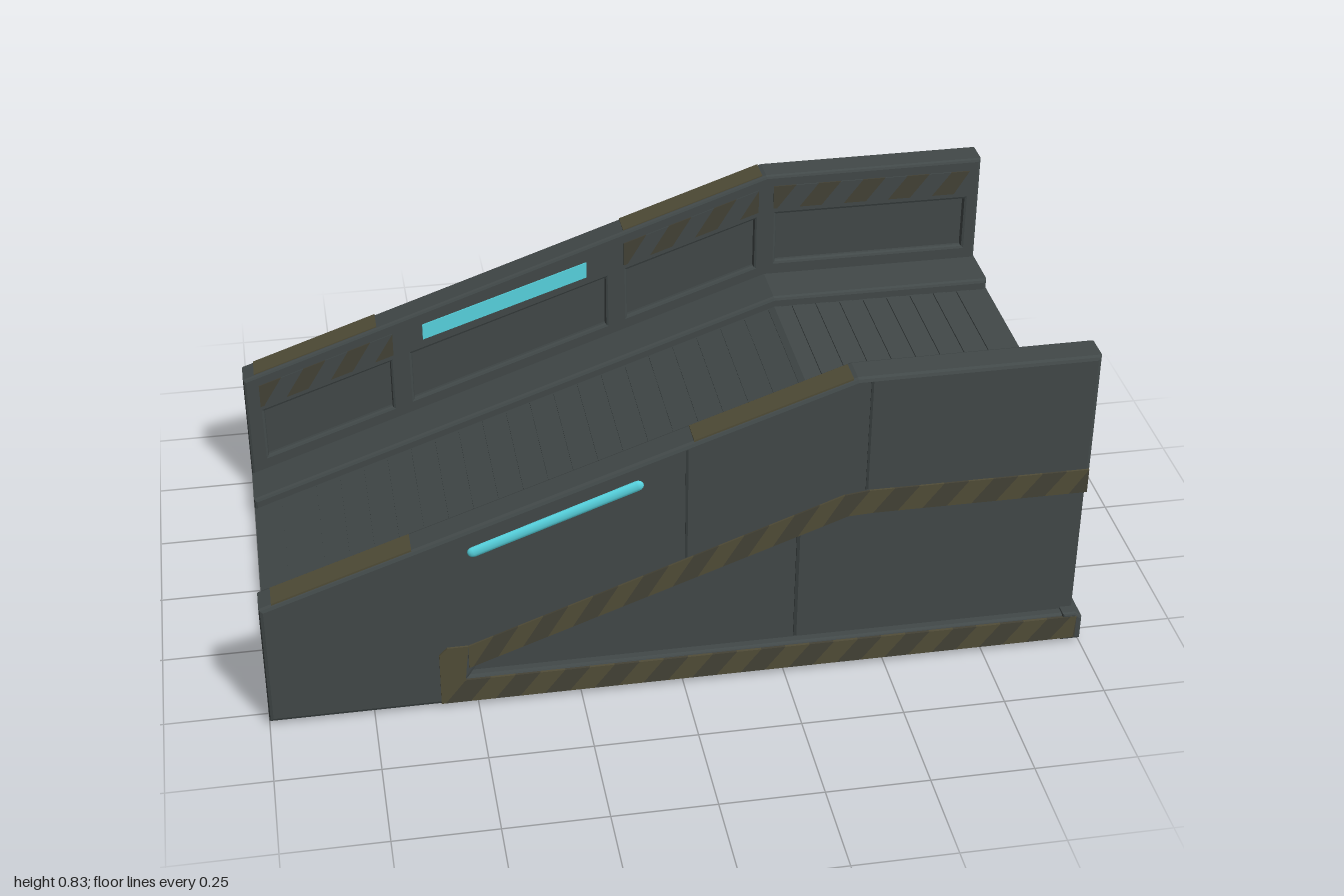
import * as THREE from 'three';

const mat = (name, color) => {
  const m = new THREE.MeshStandardMaterial({ color });
  m.name = name;
  return m;
};

// Height rules along the ramp: wall top, deck, and upper edge of the side recess
const wallTop = x => (x < 0.4 ? 0.34 + (x + 1) * 0.347 : 0.828);
const deck = x => wallTop(x) - 0.322;
const recessTop = x => (x < 0.4 ? 0.115 + (x + 0.5) * 0.367 : 0.445);

const toPoints = pts => pts.map(([x, y]) => new THREE.Vector2(x, y));

export function createModel() {
  const body = mat('dark grey metal', 0x424949);
  const seamMat = mat('seam grey', 0x363c3c);
  const olive = mat('olive paint', 0x514d38);
  const darkOlive = mat('dark olive paint', 0x444236);
  const cyan = mat('cyan light', 0x58d6e2);
  const model = new THREE.Group();
  model.name = 'ramp';

  // Extrudes an x-y outline between two z values
  function slab(parent, name, pts, za, zb, material, bevel = 0, holes = []) {
    const shape = new THREE.Shape(toPoints(pts));
    holes.forEach(h => shape.holes.push(new THREE.Path(toPoints(h))));
    const z0 = Math.min(za, zb), z1 = Math.max(za, zb);
    const geo = new THREE.ExtrudeGeometry(shape, {
      depth: z1 - z0 - 2 * bevel, bevelEnabled: bevel > 0, bevelSize: bevel,
      bevelThickness: bevel, bevelOffset: -bevel, bevelSegments: 2
    });
    geo.translate(0, 0, z0 + bevel);
    const mesh = new THREE.Mesh(geo, material);
    mesh.name = name;
    parent.add(mesh);
    return mesh;
  }

  // Area between two height rules, bending at the ramp's crest
  function strip(x0, x1, low, high) {
    const xs = x0 < 0.4 && x1 > 0.4 ? [x0, 0.4, x1] : [x0, x1];
    return [...xs.map(x => [x, low(x)]), ...xs.reverse().map(x => [x, high(x)])];
  }

  // Slanted hazard stripes filling a band between two height rules
  function stripes(parent, name, x0, x1, low, high, za, zb, mats) {
    const step = 0.06, lean = 0.05;
    const clamp = x => Math.min(x1, Math.max(x0, x));
    const band = new THREE.Group();
    band.name = name;
    parent.add(band);
    for (let i = 0, x = x0 - lean; x < x1; x += step, i++) {
      const a = clamp(x), b = clamp(x + step), c = clamp(x + step + lean), d = clamp(x + lean);
      const pts = [[a, low(a)], [b, low(b)], [c, high(c)], [d, high(d)]];
      if (b - a < 0.001) pts.splice(1, 1);
      else if (c - d < 0.001) pts.splice(2, 1);
      slab(band, 'stripe', pts, za, zb, mats[i % 2]);
    }
  }

  // Solid ramp body with a flat landing
  slab(model, 'rampBody', [[-1, 0.01], [0.98, 0.01], [0.98, deck(1)], [0.4, deck(0.4)], [-1, deck(-1)]],
    -0.5, 0.5, body);

  // Cross ridges on the deck
  const ridges = new THREE.Group();
  ridges.name = 'deckRidges';
  model.add(ridges);
  for (let x = -0.96; x < 0.96; x += 0.064) {
    const end = x + 0.034;
    slab(ridges, 'ridge', strip(x, end, t => deck(t) - 0.004, t => deck(t) + 0.004), -0.335, 0.335, body);
  }

  // Bottom plate and the sill across the tall end
  const box = (name, w, h, d, x, y, z, material, parent = model) => {
    const m = new THREE.Mesh(new THREE.BoxGeometry(w, h, d), material);
    m.position.set(x, y, z);
    m.name = name;
    parent.add(m);
    return m;
  };
  box('bottomPlate', 1.9, 0.012, 0.7, 0, 0.006, 0, body);
  slab(model, 'endSill', [[0.95, 0.01], [1, 0.01], [1, 0.075], [0.982, 0.09], [0.95, 0.09]],
    -0.555, 0.555, body, 0.006);

  const profile = [[-1, 0.01], [0.98, 0.01], [0.98, 0.828], [0.4, 0.826], [-1, 0.34]];

  for (const s of [1, -1]) {
    const side = new THREE.Group();
    side.name = s > 0 ? 'frontWall' : 'backWall';
    model.add(side);

    // Wall core
    slab(side, 'wallCore', profile, s * 0.486, s * 0.524, body);

    // Outer skin, open around the wedge-shaped recess
    slab(side, 'outerSkin', [[-1, 0.01], [0.98, 0.01], [0.98, 0.085], [-0.52, 0.085], [-0.5, 0.115],
      [0.4, 0.445], [0.98, 0.445], [0.98, 0.828], [0.4, 0.826], [-1, 0.34]],
      s * 0.495, s * 0.551, body, 0.01);

    // Inner skin with four sunken panels
    const panels = [[-0.95, -0.61], [-0.55, -0.03], [0.03, 0.37], [0.43, 0.94]].map(([a, b]) =>
      strip(a, b, x => deck(x) + 0.065, x => deck(x) + 0.205));
    slab(side, 'innerSkin', profile, s * 0.47, s * 0.512, body, 0.008, panels);

    // Kerb along the deck
    slab(side, 'kerb', strip(-1, 0.98, x => deck(x) - 0.02, x => deck(x) + 0.028),
      s * 0.34, s * 0.49, body, 0.009);

    // Striped trim framing the recess
    const trim = [olive, darkOlive];
    stripes(side, 'upperTrim', -0.52, 0.975, x => recessTop(x) + 0.008, x => recessTop(x) + 0.072,
      s * 0.549, s * 0.556, trim);
    stripes(side, 'lowerTrim', -0.59, 0.985, () => 0.016, () => 0.08, s * 0.549, s * 0.556, trim);
    slab(side, 'trimCorner', [[-0.59, 0.078], [-0.53, 0.078], [-0.52, 0.18], [-0.57, 0.18], [-0.59, 0.16]],
      s * 0.549, s * 0.556, olive);

    // Striped trim above the inner panels
    for (const [a, b] of [[-0.96, -0.6], [0.02, 0.38], [0.42, 0.95]])
      stripes(side, 'innerTrim', a, b, x => deck(x) + 0.225, x => deck(x) + 0.29,
        s * 0.467, s * 0.472, [darkOlive, body]);

    // Worn paint on the top edge
    for (const [a, b] of [[-0.97, -0.64], [0.02, 0.39]])
      slab(side, 'topPaint', strip(a, b, x => wallTop(x) - 0.012, x => wallTop(x) + 0.003),
        s * 0.48, s * 0.545, olive);

    // Panel seams on the outside and in the recess
    for (const x of [0, 0.43])
      slab(side, 'outerSeam', strip(x, x + 0.006, t => recessTop(t) + 0.075, t => wallTop(t) - 0.012),
        s * 0.549, s * 0.5525, seamMat);
    slab(side, 'recessSeam', strip(0.275, 0.283, () => 0.09, recessTop), s * 0.522, s * 0.527, seamMat);

    // Light bar on the outer face
    const bar = new THREE.Mesh(new THREE.CapsuleGeometry(0.015, 0.41, 4, 10), cyan);
    bar.name = 'lightBar';
    bar.scale.z = 0.5;
    bar.position.set(-0.305, 0.52, s * 0.55);
    bar.rotation.z = Math.atan2(0.15, 0.41) - Math.PI / 2;
    side.add(bar);
  }

  // Light strip on the inner face of the back wall
  const lit = x => 0.452 + (x + 0.5) * 0.335;
  slab(model, 'innerLight', strip(-0.52, -0.08, x => lit(x) - 0.022, x => lit(x) + 0.022), -0.473, -0.466, cyan);

  return model;
}
